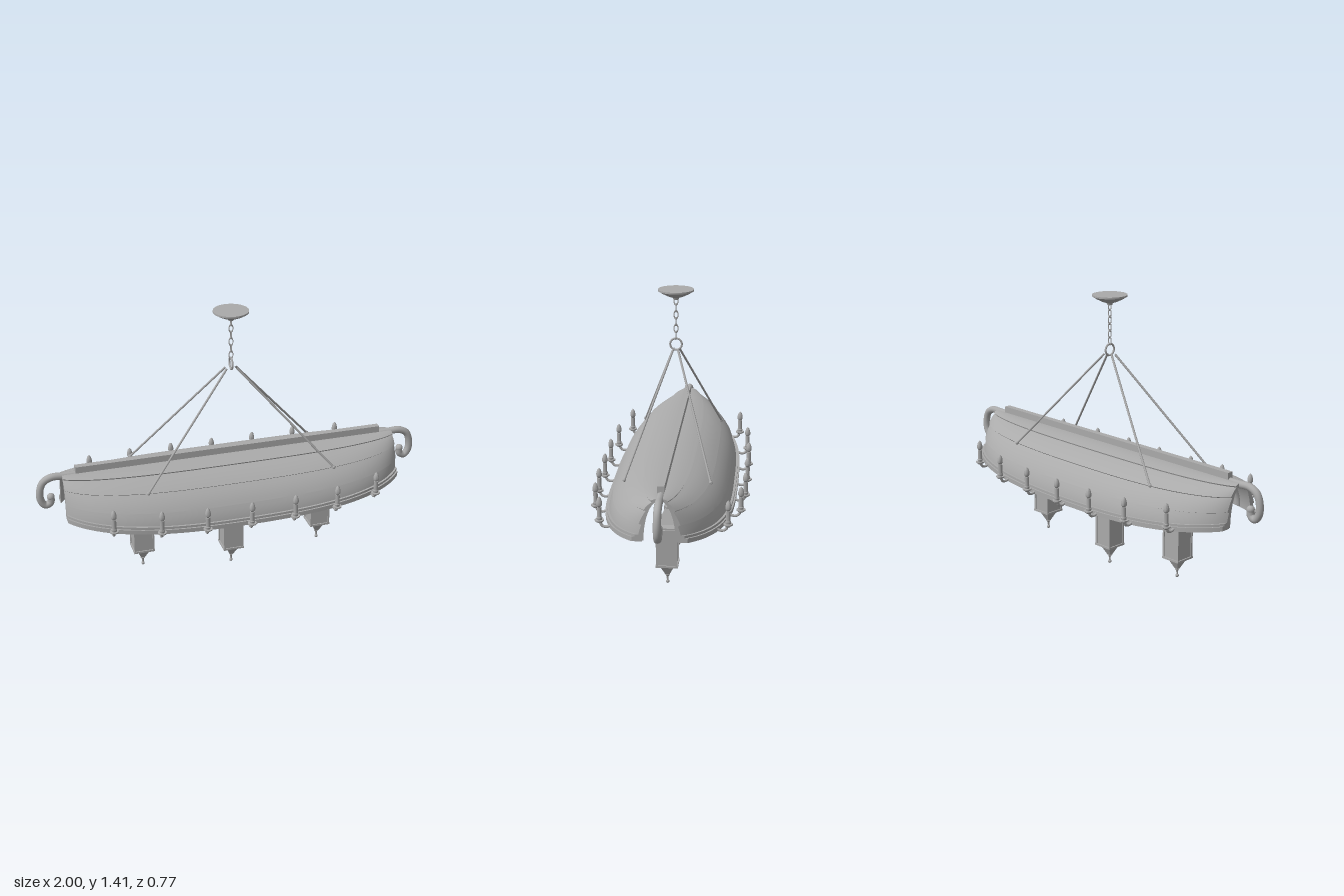
import * as THREE from 'three';
import { toCreasedNormals } from 'three/addons/utils/BufferGeometryUtils.js';

const metal = new THREE.MeshStandardMaterial({ color: 0xaaaaaa });
metal.name = 'grey metal';

const CROWN = 0.66, HALF = 0.868;
// half width and lower edge of the hull along its length
const width = x => 0.303 * Math.sqrt(1 - Math.pow(Math.abs(x) / 0.9, 3.3));
const sheer = x => 0.403 + 0.047 * (x / HALF) ** 2;
const flare = x => Math.min(2, Math.hypot(1, (width(x + 0.005) - width(x - 0.005)) / 0.01));
const V = (x, y, z) => new THREE.Vector3(x, y, z);

function add(parent, name, geo, x = 0, y = 0, z = 0) {
  const m = new THREE.Mesh(geo, metal);
  m.name = name;
  m.position.set(x, y, z);
  parent.add(m);
  return m;
}

function tube(points, radius, segments = 16, sides = 10) {
  return new THREE.TubeGeometry(new THREE.CatmullRomCurve3(points), segments, radius, sides);
}

function lathe(points, sides = 20) {
  const g = new THREE.LatheGeometry(points.map(p => new THREE.Vector2(p[0], p[1])), sides);
  return toCreasedNormals(g, 0.6);
}

// sweep a closed [y, z] section along x, with capped ends
function loft(section, stations) {
  const pos = [], idx = [];
  const n = section(0).length;
  for (const x of stations) for (const [y, z] of section(x)) pos.push(x, y, z);
  const quad = (a, b, c, d) => idx.push(a, b, c, a, c, d);
  const last = (stations.length - 1) * n;
  for (let i = 0; i < stations.length - 1; i++) {
    for (let j = 0; j < n; j++) {
      const k = (j + 1) % n;
      quad(i * n + j, (i + 1) * n + j, (i + 1) * n + k, i * n + k);
    }
  }
  for (let j = 0; j < n / 2 - 1; j++) {
    quad(j, j + 1, n - 2 - j, n - 1 - j);
    quad(last + j, last + n - 1 - j, last + n - 2 - j, last + j + 1);
  }
  const g = new THREE.BufferGeometry();
  g.setAttribute('position', new THREE.Float32BufferAttribute(pos, 3));
  g.setIndex(idx);
  return toCreasedNormals(g, 0.5);
}

// point on the hull arch, moved outwards by off
function hullPoint(x, angle, off) {
  const b = sheer(x);
  return [b + (CROWN - b + off) * Math.sin(angle), (width(x) + off * flare(x)) * Math.cos(angle)];
}

// four overlapping planks on each side, smooth inside
function hullSection(x) {
  const half = [], inner = [];
  for (let s = 0; s < 4; s++) {
    for (let k = 0; k <= 5; k++) {
      half.push(hullPoint(x, (s + k / 5) * Math.PI / 8, -0.007 * k / 5));
    }
  }
  const outer = [...half, ...half.slice(0, -1).reverse().map(([y, z]) => [y, -z])];
  const m = outer.length;
  for (let j = 0; j < m; j++) inner.push(hullPoint(x, Math.PI * (1 - j / (m - 1)), -0.016));
  return [...outer, ...inner];
}

function railSection(side, low, high, out) {
  return x => {
    const y = sheer(x), w = width(x), f = flare(x);
    const a = w + out * f, c = w - 0.012 * f;
    const p = [[y + low, a], [y + high, a], [y + high, c], [y + low, c]];
    return side > 0 ? p : [p[1], p[0], p[3], p[2]].map(([u, z]) => [u, -z]);
  };
}

// oval links turned by a quarter each
function chain(parent, top, bottom, x, count) {
  const step = (top - bottom) / count;
  for (let i = 0; i < count; i++) {
    const g = new THREE.TorusGeometry(0.01, 0.0025, 6, 14);
    g.scale(1, (step * 0.58) / 0.01, 1);
    const link = add(parent, 'chainLink', g, x, bottom + (i + 0.5) * step, 0);
    if (i % 2) link.rotation.y = Math.PI / 2;
  }
}

// square frustum with faces along the axes
function frustum(topHalf, bottomHalf, height) {
  const g = new THREE.CylinderGeometry(topHalf * Math.SQRT2, bottomHalf * Math.SQRT2, height, 4);
  return toCreasedNormals(g.rotateY(Math.PI / 4), 0.3);
}

function lantern(x, lift) {
  const g = new THREE.Group();
  g.name = 'lantern';
  g.position.set(x, lift, 0);
  add(g, 'finialBall', new THREE.SphereGeometry(0.009, 12, 8), 0, 0.009, 0);
  add(g, 'finialStem', lathe([[0.004, 0.012], [0.005, 0.035], [0.012, 0.045], [0.006, 0.052]], 12));
  add(g, 'lowerCone', frustum(0.036, 0.007, 0.06), 0, 0.073, 0);
  add(g, 'lowerFrame', new THREE.BoxGeometry(0.108, 0.01, 0.108), 0, 0.106, 0);
  add(g, 'panes', new THREE.BoxGeometry(0.096, 0.17, 0.096), 0, 0.192, 0);
  for (const sx of [-1, 1]) for (const sz of [-1, 1]) {
    add(g, 'cornerPost', new THREE.BoxGeometry(0.01, 0.18, 0.01), sx * 0.047, 0.19, sz * 0.047);
  }
  add(g, 'upperFrame', new THREE.BoxGeometry(0.114, 0.022, 0.114), 0, 0.285, 0);
  add(g, 'neck', new THREE.BoxGeometry(0.1, 0.012, 0.1), 0, 0.302, 0);
  add(g, 'roofSkirt', frustum(0.043, 0.055, 0.014), 0, 0.313, 0);
  add(g, 'roof', frustum(0.008, 0.043, 0.075), 0, 0.356, 0);
  add(g, 'roofCap', new THREE.SphereGeometry(0.011, 12, 8), 0, 0.396, 0);
  chain(g, 0.645 - lift, 0.4, 0, 6);
  return g;
}

function candleArm(x, side) {
  const g = new THREE.Group();
  g.name = 'candleArm';
  const w = width(x), y = sheer(x), z = w + 0.062;
  g.position.set(x, y, 0);
  add(g, 'arm', tube([V(0, 0.022, side * (w - 0.01)), V(0, 0.008, side * (w + 0.008)),
    V(0, 0.0, side * (w + 0.03)), V(0, 0.006, side * (w + 0.05)), V(0, 0.03, side * z)], 0.007, 16, 8));
  add(g, 'cup', lathe([[0, 0.018], [0.01, 0.02], [0.022, 0.029], [0.022, 0.035], [0.012, 0.035],
    [0.014, 0.046], [0.012, 0.05]], 16), 0, 0, side * z);
  add(g, 'candle', lathe([[0.011, 0.035], [0.011, 0.098], [0, 0.098]], 14), 0, 0, side * z);
  add(g, 'flameBulb', lathe([[0.007, 0.098], [0.014, 0.108], [0.014, 0.122], [0.009, 0.14], [0, 0.15]], 14),
    0, 0, side * z);
  return g;
}

export function createModel() {
  const model = new THREE.Group();
  model.name = 'boatChandelier';
  const stations = Array.from({ length: 49 }, (_, i) => HALF * Math.sin((i / 24 - 1) * Math.PI / 2));

  // upturned hull with rails, keel and scrolled ends
  add(model, 'hull', loft(hullSection, stations));
  for (const s of [-1, 1]) {
    add(model, 'gunwale', loft(railSection(s, -0.004, 0.018, 0.014), stations));
    add(model, 'rubbingStrip', loft(railSection(s, 0.018, 0.03, 0.006), stations));
  }
  add(model, 'keel', new THREE.BoxGeometry(1.6, 0.045, 0.032), 0, 0.6645, 0);
  for (const s of [-1, 1]) {
    const path = [[0.79, 0.642], [0.86, 0.643], [0.92, 0.643], [0.962, 0.62], [0.98, 0.57], [0.976, 0.52],
      [0.955, 0.494], [0.93, 0.505], [0.925, 0.532]].map(([x, y]) => V(s * x, y, 0));
    add(model, 'endScroll', tube(path, 0.0185, 48, 12));
    add(model, 'scrollTip', new THREE.SphereGeometry(0.0195, 14, 10), s * 0.927, 0.536, 0);
  }

  // ribs inside the hull and candle arms outside
  for (const x of [-0.675, -0.45, -0.225, 0, 0.225, 0.45, 0.675]) {
    const rib = Array.from({ length: 17 }, (_, i) => {
      const [y, z] = hullPoint(x, 0.03 + (Math.PI - 0.06) * i / 16, -0.02);
      return V(x, y, z);
    });
    add(model, 'rib', tube(rib, 0.011, 40, 8));
    for (const s of [-1, 1]) model.add(candleArm(x, s));
  }

  // hanging lanterns
  for (const x of [-0.475, 0, 0.475]) model.add(lantern(x, x ? 0.064 : 0));

  // suspension rods, ring, chain and ceiling canopy
  for (const sx of [-1, 1]) for (const sz of [-1, 1]) {
    const rod = new THREE.LineCurve3(V(sx * 0.025, 1.115, sz * 0.012), V(sx * 0.485, 0.585, sz * 0.208));
    add(model, 'suspensionRod', new THREE.TubeGeometry(rod, 1, 0.0055, 8));
    add(model, 'rodEye', new THREE.SphereGeometry(0.009, 10, 8), sx * 0.48, 0.592, sz * 0.206);
  }
  add(model, 'ring', new THREE.TorusGeometry(0.029, 0.005, 8, 28), 0, 1.137, 0).rotation.y = Math.PI / 2;
  chain(model, 1.372, 1.165, 0, 6);
  add(model, 'canopy', lathe([[0, 1.36], [0.012, 1.362], [0.016, 1.372], [0.04, 1.38], [0.07, 1.395],
    [0.088, 1.406], [0.088, 1.414], [0, 1.414]], 36));
  return model;
}
